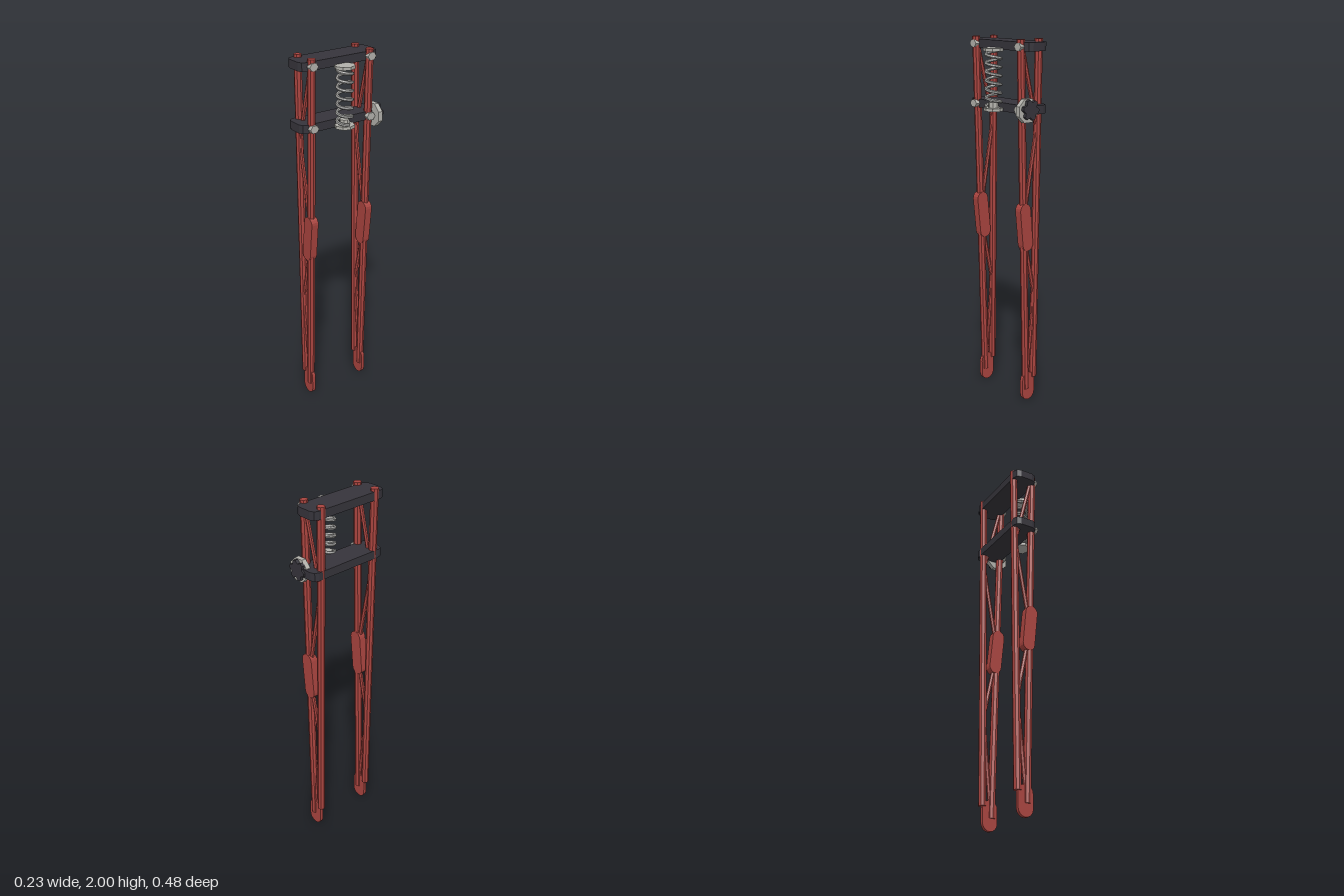
import * as THREE from 'three';

export function createModel() {
  const root = new THREE.Group();
  root.name = 'girderFork';
  const mat = (name, color) => {
    const m = new THREE.MeshStandardMaterial({ color, flatShading: true });
    m.name = name;
    return m;
  };
  const red = mat('red paint', 0xa9443f);
  const dark = mat('dark metal', 0x36343b);
  const steel = mat('light steel', 0xb2b1ab);
  const springSteel = mat('spring steel', 0x9c9c9a);
  const ZC = 0.004; // middle of the fork in z

  const add = (parent, name, geo, material, x = 0, y = 0, z = 0) => {
    const mesh = new THREE.Mesh(geo, material);
    mesh.name = name;
    mesh.position.set(x, y, z);
    parent.add(mesh);
    return mesh;
  };

  // Straight tube between two points of the xy plane
  const rod = (parent, name, a, b, r, sides = 8) => {
    const p = new THREE.Vector3(a[0], a[1], 0);
    const d = new THREE.Vector3(b[0], b[1], 0).sub(p);
    const mesh = add(parent, name, new THREE.CylinderGeometry(r, r, d.length(), sides), red);
    mesh.position.copy(p).addScaledVector(d, 0.5);
    mesh.quaternion.setFromUnitVectors(new THREE.Vector3(0, 1, 0), d.normalize());
    return mesh;
  };

  // Extruded shape centred on its thickness
  const slab = (shape, depth) =>
    new THREE.ExtrudeGeometry(shape, { depth, bevelEnabled: false, curveSegments: 4 }).translate(0, 0, -depth / 2);

  // Upright plate outline with rounded ends
  const capsule = (w, h) => {
    const r = w / 2, s = new THREE.Shape();
    s.absarc(0, h / 2 - r, r, 0, Math.PI, false);
    s.absarc(0, r - h / 2, r, Math.PI, Math.PI * 2, false);
    s.closePath();
    return s;
  };

  // Two girder legs with zigzag bracing
  for (const side of [-1, 1]) {
    const leg = new THREE.Group();
    leg.name = side > 0 ? 'frontLeg' : 'backLeg';
    leg.position.z = ZC + side * 0.178;
    root.add(leg);
    rod(leg, 'rightTube', [-0.073, 0.13], [-0.093, 2], 0.021);
    rod(leg, 'leftTube', [-0.02, 0.07], [0.03, 2], 0.021);
    rod(leg, 'topBrace', [-0.08, 1.56], [0.026, 1.99], 0.011, 6);
    rod(leg, 'upperBrace', [-0.08, 1.53], [-0.005, 1.1], 0.011, 6);
    rod(leg, 'lowerBrace', [-0.01, 0.93], [-0.073, 0.62], 0.011, 6);
    rod(leg, 'bottomBrace', [-0.073, 0.62], [-0.022, 0.08], 0.011, 6);
    const gusset = add(leg, 'middlePlate', slab(capsule(0.072, 0.264), 0.042), red, -0.002, 1.017);
    gusset.rotation.z = -0.1;
    add(leg, 'axlePlate', slab(capsule(0.087, 0.165), 0.02), red, -0.032, 0.0825);
  }

  // Cross plates with rounded corners, and a nut on each left tube
  const plate = new THREE.Shape();
  const hx = 0.068, hz = 0.237, c = 0.032, k = c * 0.29;
  const corner = [[hx, hz - c], [hx - k, hz - k], [hx - c, hz]];
  const outline = [];
  for (const [sx, sz] of [[1, 1], [-1, 1], [-1, -1], [1, -1]]) {
    const pts = corner.map(([x, z]) => new THREE.Vector2(sx * x, sz * z));
    outline.push(...(sx * sz > 0 ? pts : pts.reverse()));
  }
  plate.setFromPoints(outline);
  for (const [name, y] of [['upperCrossPlate', 1.963], ['lowerCrossPlate', 1.645]]) {
    add(root, name, slab(plate, 0.045).rotateX(-Math.PI / 2), dark, -0.04, y, ZC);
    for (const side of [-1, 1]) {
      const nut = new THREE.CylinderGeometry(0.026, 0.026, 0.03, 6).rotateX(0).rotateZ(Math.PI / 2);
      add(root, 'pivotNut', nut.scale(1, 0.85, 1), steel, 0.038, y, ZC + side * 0.178);
    }
  }

  // Coil spring between two seats
  const coil = [];
  const turns = 6.5, steps = 66;
  for (let i = 0; i <= steps; i++) {
    const a = (i / steps) * turns * Math.PI * 2;
    coil.push(new THREE.Vector3(
      0.06 + 0.039 * Math.cos(a), 1.645 + 0.29 * (i / steps), ZC + 0.039 * Math.sin(a)));
  }
  add(root, 'spring', new THREE.TubeGeometry(new THREE.CatmullRomCurve3(coil), 110, 0.009, 6), springSteel);
  for (const y of [1.633, 1.941]) {
    add(root, 'springSeat', new THREE.CylinderGeometry(0.053, 0.053, 0.016, 8), steel, 0.06, y, ZC);
  }
  add(root, 'springCup', new THREE.CylinderGeometry(0.026, 0.028, 0.03, 8), steel, 0.06, 1.655, ZC);

  // Damper on the back end of the lower plate
  add(root, 'damperDisc', new THREE.CylinderGeometry(0.066, 0.066, 0.026, 8).rotateY(Math.PI / 8).rotateX(Math.PI / 2),
    steel, 0.021, 1.645, -0.212);
  add(root, 'damperStem', new THREE.CylinderGeometry(0.018, 0.018, 0.05, 8).rotateX(Math.PI / 2),
    steel, 0.02, 1.645, -0.19);
  const star = new THREE.Shape();
  const lobes = [];
  for (let i = 0; i < 18; i++) {
    const a = (i / 18) * Math.PI * 2;
    const r = i % 3 === 2 ? 0.038 : 0.054;
    lobes.push(new THREE.Vector2(r * Math.cos(a), r * Math.sin(a)));
  }
  star.setFromPoints(lobes);
  add(root, 'damperKnob', slab(star, 0.02), dark, 0.015, 1.65, -0.233);

  return root;
}
